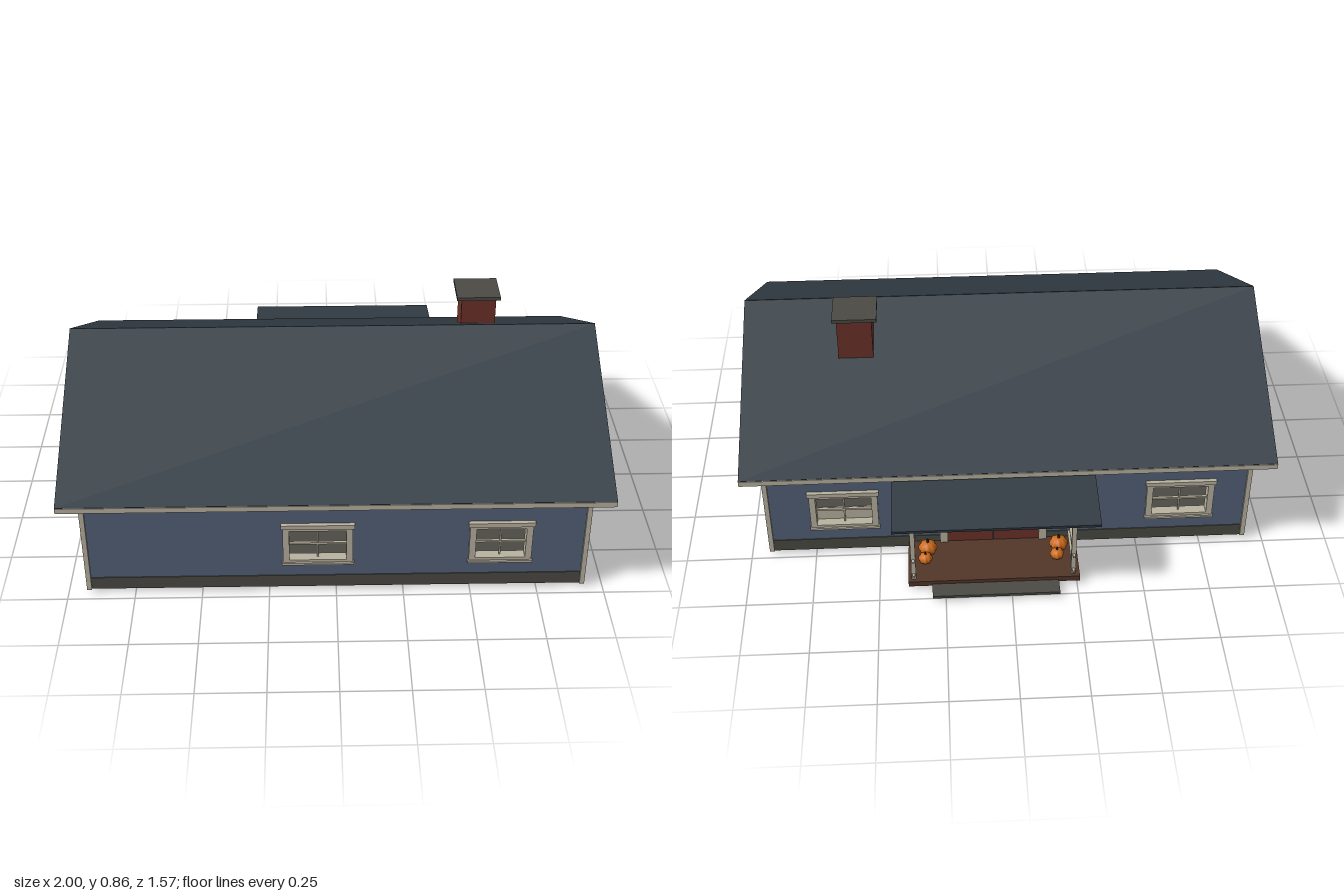
import * as THREE from 'three';

const mat = (name, color) => Object.assign(new THREE.MeshStandardMaterial({ color }), { name });
const M = {
  wall: mat('blue siding', 0x536177),
  roof: mat('slate', 0x323c44),
  trim: mat('cream trim', 0xb9b2a0),
  stone: mat('grey stone', 0x4b4a44),
  base: mat('dark base', 0x25211c),
  red: mat('brick red', 0x6c3129),
  deck: mat('brown deck', 0x513628),
  orange: mat('orange', 0xcc6a1a),
  metal: mat('black metal', 0x1d2024),
};

function add(parent, name, geo, material) {
  const m = new THREE.Mesh(geo, material);
  m.name = name;
  parent.add(m);
  return m;
}

// box given by its low and high limits on each axis
function box(parent, name, material, x0, x1, y0, y1, z0, z1) {
  const m = add(parent, name, new THREE.BoxGeometry(x1 - x0, y1 - y0, z1 - z0), material);
  m.position.set((x0 + x1) / 2, (y0 + y1) / 2, (z0 + z1) / 2);
  return m;
}

const rect = (C, x0, x1, y0, y1) => new C([[x0, y0], [x1, y0], [x1, y1], [x0, y1]].map(p => new THREE.Vector2(...p)));

// flat panel with rectangular holes, its outer face at z = front
function panel(parent, name, material, outer, holes, front, depth) {
  const s = rect(THREE.Shape, ...outer);
  s.holes = holes.map(h => rect(THREE.Path, ...h));
  const geo = new THREE.ExtrudeGeometry(s, { depth, bevelEnabled: false });
  add(parent, name, geo, material).position.z = front - depth;
}

const WY0 = 0.135, WY1 = 0.295;

// framed sash window on a wall whose outside is local +z
function windowUnit(parent, cx, w) {
  const g = new THREE.Group();
  g.name = 'window';
  g.position.x = cx;
  parent.add(g);
  const h = w / 2, b = 0.024;
  panel(g, 'windowFrame', M.trim, [-h, h, WY0, WY1], [[-h + b, h - b, WY0 + 0.014, WY1 - 0.014]], 0.01, 0.04);
  box(g, 'windowHead', M.trim, -h - 0.006, h + 0.006, WY1 - 0.002, 0.311, -0.005, 0.016);
  box(g, 'windowSill', M.trim, -h - 0.004, h + 0.004, 0.129, 0.138, -0.005, 0.017);
  box(g, 'sashRail', M.trim, -h + b, h - b, 0.208, 0.216, -0.016, -0.006);
  box(g, 'muntin', M.trim, -0.003, 0.003, WY0 + 0.01, WY1 - 0.01, -0.015, -0.009);
}

// one wall: siding, inner lining and its windows [centre, width]
function wall(parent, name, half, x, z, turn, windows) {
  const g = new THREE.Group();
  g.name = name;
  g.position.set(x, 0, z);
  g.rotation.y = turn;
  parent.add(g);
  const holes = windows.map(([c, w]) => [c - w / 2 + 0.01, c + w / 2 - 0.01, WY0 + 0.008, WY1 - 0.008]);
  panel(g, 'siding', M.wall, [-half, half, 0.05, 0.442], holes, 0, 0.015);
  panel(g, 'innerLining', M.roof, [-half + 0.015, half - 0.015, 0.05, 0.442], holes, -0.015, 0.008);
  for (const [c, w] of windows) windowUnit(g, c, w);
}

// ribbed pumpkin with a stem
function pumpkin(parent, x, z, r) {
  const g = new THREE.Group();
  g.name = 'pumpkin';
  g.position.set(x, 0.04 + r * 0.8, z);
  parent.add(g);
  const geo = new THREE.SphereGeometry(r, 32, 14), p = geo.attributes.position;
  for (let i = 0; i < p.count; i++) {
    const a = Math.atan2(p.getZ(i), p.getX(i)), k = 0.95 + 0.07 * Math.cos(a * 8);
    p.setXYZ(i, p.getX(i) * k, p.getY(i) * 0.8, p.getZ(i) * k);
  }
  geo.computeVertexNormals();
  add(g, 'pumpkinBody', geo, M.orange);
  const stem = add(g, 'pumpkinStem', new THREE.CylinderGeometry(r * 0.1, r * 0.18, r * 0.5, 6), M.base);
  stem.position.y = r * 0.95;
}

export function createModel() {
  const house = new THREE.Group();
  house.name = 'house';
  const X = 0.92, ZF = 0.71, ZB = -0.475, ZC = (ZF + ZB) / 2, HZ = (ZF - ZB) / 2;

  // base and foundation
  box(house, 'baseSlab', M.base, -0.87, 0.87, 0, 0.022, -0.42, 0.65);
  box(house, 'foundation', M.stone, -X - 0.003, X + 0.003, 0.018, 0.07, ZB - 0.003, ZF + 0.003);

  // walls
  wall(house, 'frontWall', X, 0, ZF, 0, [[-0.068, 0.258], [0.605, 0.232]]);
  wall(house, 'backWall', X, 0, ZB, Math.PI, [[-0.63, 0.26], [0.66, 0.26]]);
  wall(house, 'leftWall', HZ, X, ZC, Math.PI / 2, [[ZC - 0.27, 0.2]]);
  wall(house, 'rightWall', HZ, -X, ZC, -Math.PI / 2, [[0.375 - ZC, 0.2]]);
  box(house, 'windowBlind', M.trim, 0.5, 0.76, 0.13, 0.208, ZB + 0.026, ZB + 0.03);

  // corner boards
  for (const s of [-1, 1])
    for (const z of [ZB, ZF])
      box(house, 'cornerBoard', M.trim, s * 0.921 - 0.009, s * 0.921 + 0.009, 0.018, 0.435, z - 0.009, z + 0.009);

  // gabled roof: siding on the gable ends, slate on slopes and soffit
  const gable = new THREE.Shape([[-0.78, 0.442], [0.555, 0.442], [-0.115, 0.79]].map(p => new THREE.Vector2(...p)));
  const roofGeo = new THREE.ExtrudeGeometry(gable, { depth: 1.996, bevelEnabled: false });
  roofGeo.translate(0, 0, -0.998).rotateY(Math.PI / 2);
  add(house, 'roof', roofGeo, [M.wall, M.roof]);

  // thin shingle layer edging each slope
  for (const [z, name] of [[0.782, 'frontShingles'], [-0.558, 'backShingles']]) {
    const dz = z - 0.115, dy = 0.445 - 0.793;
    const m = add(house, name, new THREE.BoxGeometry(2, 0.004, Math.hypot(dz, dy)), M.roof);
    m.position.set(0, 0.619, 0.115 + dz / 2);
    m.rotation.x = Math.atan2(-dy, dz) + (dz < 0 ? Math.PI : 0);
  }

  // eave gutters
  box(house, 'frontGutter', M.trim, -1, 1, 0.424, 0.445, 0.776, 0.785);
  box(house, 'backGutter', M.trim, -1, 1, 0.424, 0.445, -0.561, -0.552);

  // chimney
  box(house, 'chimney', M.red, 0.5, 0.633, 0.6, 0.848, -0.12, 0.005);
  box(house, 'chimneyCap', M.stone, 0.48, 0.648, 0.846, 0.86, -0.136, 0.022);

  // double door with glowing panes
  const DC = 0.06;
  const door = new THREE.Group();
  door.name = 'door';
  house.add(door);
  for (const s of [-1, 1]) {
    const c = DC + s * 0.09;
    box(door, 'doorLeaf', M.red, c - 0.087, c + 0.087, 0.042, 0.318, ZB - 0.008, ZB + 0.03);
    box(door, 'doorPanel', M.red, c - 0.06, c + 0.06, 0.07, 0.2, ZB - 0.012, ZB - 0.006);
    for (const k of [-0.045, 0, 0.045]) {
      box(door, 'doorPane', M.orange, c + k - 0.018, c + k + 0.018, 0.235, 0.3, ZB - 0.011, ZB - 0.007);
      box(door, 'innerPane', M.roof, c + k - 0.018, c + k + 0.018, 0.265, 0.3, ZB + 0.029, ZB + 0.032);
    }
    box(door, 'doorKnob', M.metal, DC + s * 0.015 - 0.004, DC + s * 0.015 + 0.004, 0.165, 0.18, ZB - 0.018, ZB - 0.007);
    box(door, 'doorJamb', M.trim, DC + s * 0.192 - 0.015, DC + s * 0.192 + 0.015, 0.04, 0.335, ZB - 0.014, ZB + 0.034);
  }
  box(door, 'doorMeetingStile', M.metal, DC - 0.003, DC + 0.003, 0.042, 0.318, ZB - 0.007, ZB + 0.028);
  box(door, 'doorHead', M.trim, DC - 0.213, DC + 0.213, 0.318, 0.342, ZB - 0.016, ZB + 0.034);

  // porch deck, step and roof
  const porch = new THREE.Group();
  porch.name = 'porch';
  house.add(porch);
  box(porch, 'porchDeck', M.deck, -0.26, 0.39, 0.018, 0.041, -0.7, ZB);
  box(porch, 'porchStep', M.stone, -0.18, 0.3, 0.015, 0.026, -0.765, -0.69);
  const canopy = add(porch, 'porchRoof', new THREE.BoxGeometry(0.76, 0.012, 0.318), M.roof);
  canopy.position.set(0.06, 0.398, -0.628);
  canopy.rotation.x = -0.145;

  // posts, side rails and pumpkins
  for (const x of [-0.235, 0.37]) {
    box(porch, 'porchPost', M.trim, x - 0.009, x + 0.009, 0.04, 0.388, -0.684, -0.666);
    for (const y of [0.065, 0.14])
      box(porch, 'porchRail', M.trim, x - 0.005, x + 0.005, y - 0.004, y + 0.004, -0.7, ZB);
  }
  for (const x of [-0.19, 0.315]) {
    pumpkin(porch, x, -0.543, 0.036);
    pumpkin(porch, x + 0.01, -0.594, 0.027);
  }

  // wall lantern
  const lantern = new THREE.Group();
  lantern.name = 'lantern';
  lantern.position.set(0.31, 0, -0.495);
  house.add(lantern);
  box(lantern, 'lanternBody', M.metal, -0.012, 0.012, 0.258, 0.3, -0.01, 0.012);
  box(lantern, 'lanternCap', M.metal, -0.016, 0.016, 0.3, 0.306, -0.014, 0.016);
  box(lantern, 'lanternBracket', M.metal, -0.005, 0.005, 0.27, 0.315, 0.01, 0.021);

  return house;
}
